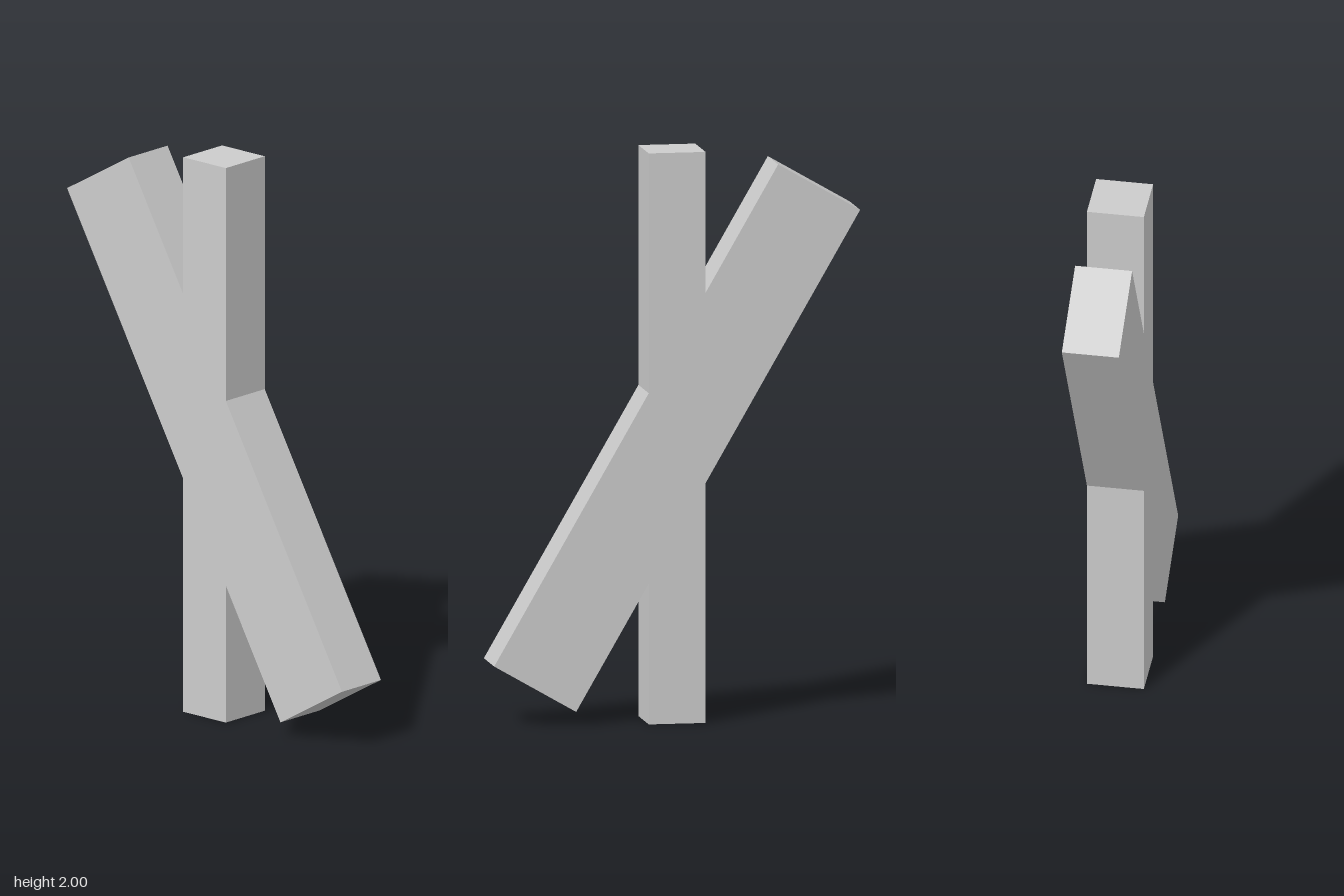
import * as THREE from 'three';

const POST = 0.1;               // half width of the upright bar, and half depth
const BRACE = 1 / 6;            // half width of the slanted bar
const TILT = Math.PI / 6;       // slant from vertical

export function createModel() {
  const group = new THREE.Group();
  const sin = Math.sin(TILT), cos = Math.cos(TILT);

  // Point on the slanted bar's upper end, and height where its edge meets the post's left side
  const corner = (side) => new THREE.Vector2(-sin + side * BRACE * cos, cos + side * BRACE * sin);
  const meet = (side) => new THREE.Vector2(-POST, (POST * cos + side * BRACE) / sin);

  // Left half of the joined outline, then the same half turned by 180 degrees
  const half = [
    new THREE.Vector2(-POST, 1),
    meet(1), corner(1), corner(-1), meet(-1),
    new THREE.Vector2(-POST, -1),
  ];
  const outline = [...half, ...half.map((p) => p.clone().negate())];

  // Upright and slanted bars share one flush body
  const geometry = new THREE.ExtrudeGeometry(new THREE.Shape(outline), {
    depth: 2 * POST, bevelEnabled: false,
  });
  geometry.translate(0, 1, -POST);

  const bars = new THREE.Mesh(
    geometry,
    new THREE.MeshStandardMaterial({ color: 0xcccccc, flatShading: true }),
  );
  bars.name = 'crossedBars';
  group.add(bars);
  return group;
}
